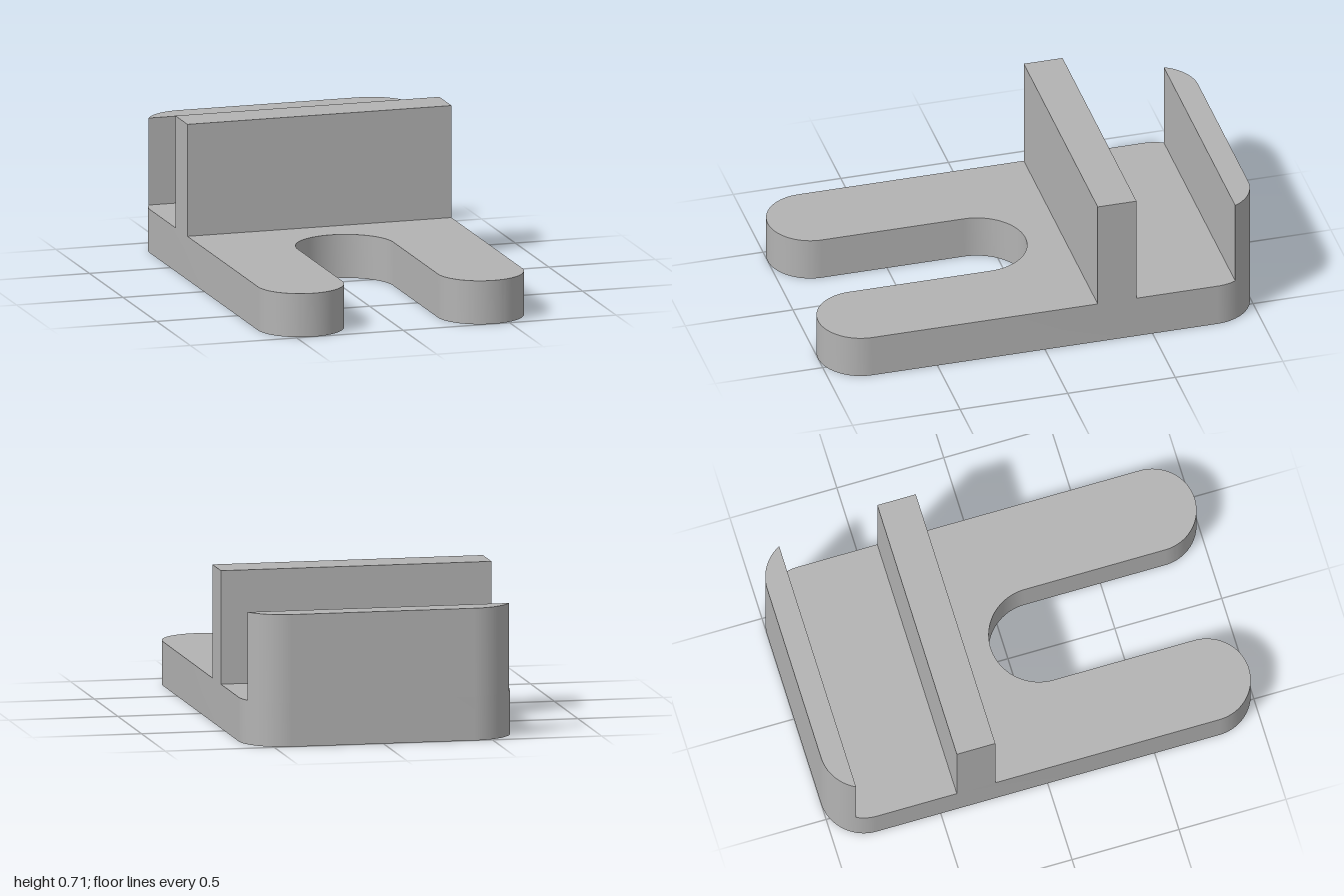
import * as THREE from 'three';
import { toCreasedNormals } from 'three/addons/utils/BufferGeometryUtils.js';

const HALF_W = 0.62, SLOT_R = 0.225, CORNER_R = 0.2, BASE_H = 0.2;
const PRONG_R = (HALF_W - SLOT_R) / 2, PRONG_X = (HALF_W + SLOT_R) / 2;
const PRONG_Z = 1 - PRONG_R, SLOT_Z = 0.145, LIP_Z = 0.89, LIP_TOP = 0.6;

// Extrude a plan outline (shape y points to the back) upwards from y0 to y1
function slab(shape, y0, y1) {
  const geo = new THREE.ExtrudeGeometry(shape, { depth: y1 - y0, bevelEnabled: false, curveSegments: 32 });
  geo.rotateX(-Math.PI / 2).translate(0, y0, 0);
  return toCreasedNormals(geo, 0.4);
}

export function createModel() {
  const grey = new THREE.MeshStandardMaterial({ color: 0xb3b3b3 });
  grey.name = 'grey';
  const group = new THREE.Group();
  group.name = 'forkedBracket';
  const add = (name, geo) => {
    const mesh = new THREE.Mesh(geo, grey);
    mesh.name = name;
    group.add(mesh);
    return mesh;
  };

  // Base plate: two round-ended prongs around a slot, rounded back corners
  const base = new THREE.Shape();
  base.moveTo(-HALF_W, -PRONG_Z);
  base.absarc(-PRONG_X, -PRONG_Z, PRONG_R, Math.PI, 2 * Math.PI, false);
  base.absarc(0, -SLOT_Z, SLOT_R, Math.PI, 0, true);
  base.absarc(PRONG_X, -PRONG_Z, PRONG_R, Math.PI, 2 * Math.PI, false);
  base.absarc(HALF_W - CORNER_R, 1 - CORNER_R, CORNER_R, 0, Math.PI / 2, false);
  base.absarc(CORNER_R - HALF_W, 1 - CORNER_R, CORNER_R, Math.PI / 2, Math.PI, false);
  base.closePath();
  add('basePlate', slab(base, 0, BASE_H));

  // Back lip: the strip of the base outline behind LIP_Z, raised
  const a = Math.asin((LIP_Z - 1 + CORNER_R) / CORNER_R);
  const lip = new THREE.Shape();
  lip.absarc(HALF_W - CORNER_R, 1 - CORNER_R, CORNER_R, a, Math.PI / 2, false);
  lip.absarc(CORNER_R - HALF_W, 1 - CORNER_R, CORNER_R, Math.PI / 2, Math.PI - a, false);
  lip.closePath();
  add('backLip', slab(lip, BASE_H, LIP_TOP));

  // Upright wall across the middle
  const wallH = 0.715 - BASE_H;
  add('uprightWall', new THREE.BoxGeometry(2 * HALF_W, wallH, 0.18))
    .position.set(0, BASE_H + wallH / 2, -0.335);

  return group;
}
